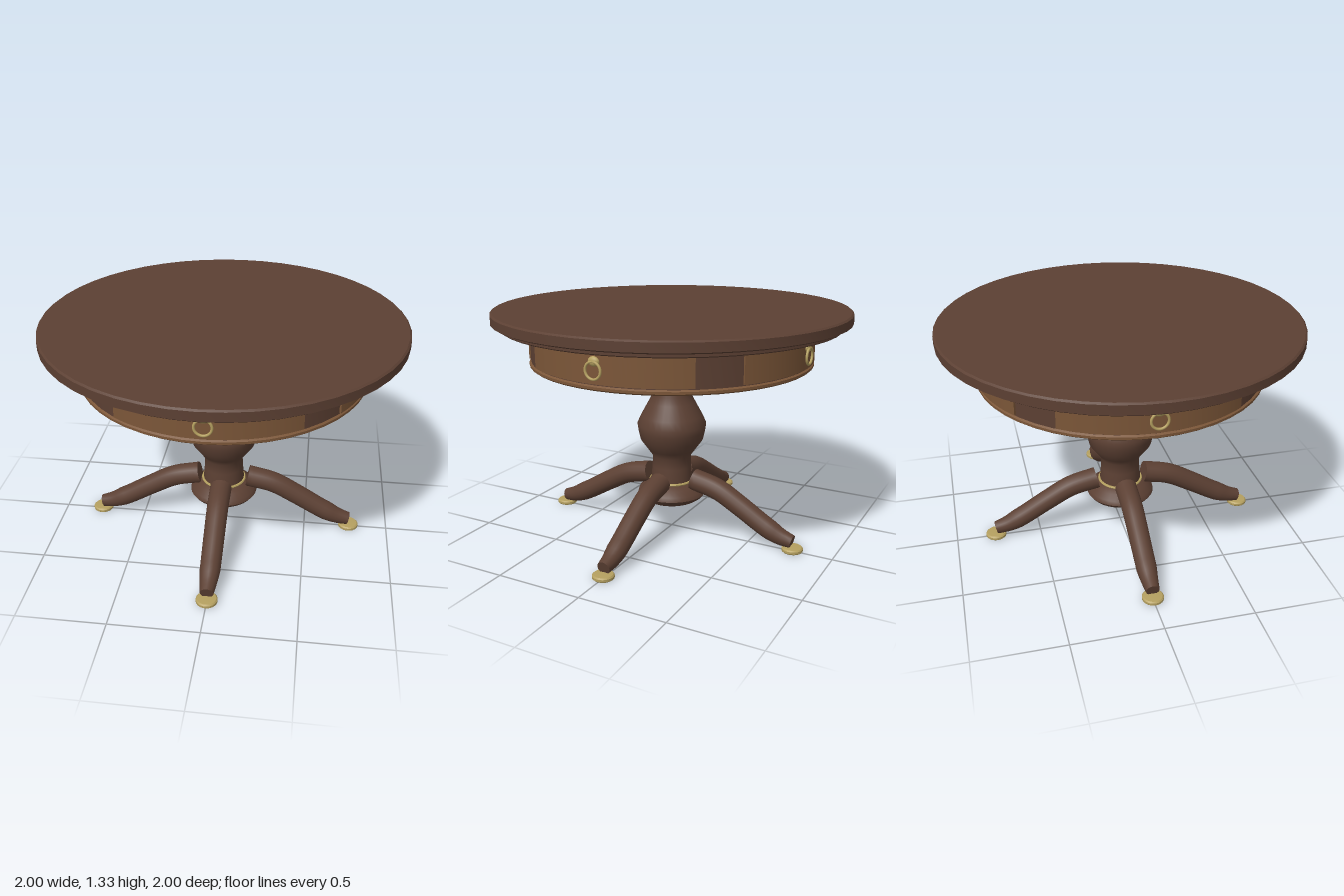
import * as THREE from 'three';
import { toCreasedNormals } from 'three/addons/utils/BufferGeometryUtils.js';

const wood = new THREE.MeshStandardMaterial({ color: 0x5c4033 });
const drawerWood = new THREE.MeshStandardMaterial({ color: 0x7b5638 });
const brass = new THREE.MeshStandardMaterial({ color: 0xb5a060 });

function mesh(name, geometry, material) {
  const m = new THREE.Mesh(geometry, material);
  m.name = name;
  return m;
}

// Turned part; profile is [radius, height] from bottom to top
function turned(name, profile, material, sides = 48, crease = 0.6) {
  const g = new THREE.LatheGeometry(profile.map(([r, y]) => new THREE.Vector2(r, y)), sides);
  return mesh(name, toCreasedNormals(g, crease), material);
}

// Curved drawer front, centred on +z
function drawerFront() {
  const half = THREE.MathUtils.degToRad(36), mid = -Math.PI / 2;
  const s = new THREE.Shape();
  s.absarc(0, 0, 0.8, mid - half, mid + half, false);
  s.absarc(0, 0, 0.76, mid + half, mid - half, true);
  const g = new THREE.ExtrudeGeometry(s, { depth: 0.165, bevelEnabled: false, curveSegments: 20 });
  g.rotateX(-Math.PI / 2).translate(0, 1.055, 0);
  return mesh('drawerFront', toCreasedNormals(g, 0.6), drawerWood);
}

function ringPull() {
  const pull = new THREE.Group();
  pull.name = 'ringPull';
  const plate = mesh('pullPlate', new THREE.SphereGeometry(1, 20, 12), brass);
  plate.scale.set(0.032, 0.026, 0.018);
  plate.position.set(0, 1.17, 0.8);
  const ring = mesh('pullRing', new THREE.TorusGeometry(0.044, 0.007, 10, 28), brass);
  ring.position.set(0, 1.126, 0.812);
  pull.add(plate, ring);
  return pull;
}

// Swept leg towards +z, tapering to the toe
function leg() {
  const path = new THREE.CatmullRomCurve3([
    [0.145, 0.322], [0.3, 0.286], [0.44, 0.212], [0.6, 0.118], [0.69, 0.075], [0.765, 0.056],
  ].map(([z, y]) => new THREE.Vector3(0, y, z)));
  const steps = 24, sides = 16, pos = [], index = [];
  for (let i = 0; i <= steps; i++) {
    const t = i / steps, p = path.getPointAt(t), d = path.getTangentAt(t);
    const r = 0.064 - 0.008 * t - 0.018 * Math.max(0, (t - 0.8) / 0.2);
    for (let j = 0; j < sides; j++) {
      const a = (j / sides) * Math.PI * 2, c = Math.cos(a) * r, s = Math.sin(a) * r;
      pos.push(c, p.y + s * d.z, p.z - s * d.y);
      if (i < steps) {
        const k = (j + 1) % sides, A = i * sides + j, B = i * sides + k;
        index.push(A, B, B + sides, A, B + sides, A + sides);
      }
    }
  }
  // End caps
  const last = steps * sides;
  for (let j = 1; j < sides - 1; j++) {
    index.push(0, j + 1, j, last, last + j, last + j + 1);
  }
  const g = new THREE.BufferGeometry();
  g.setAttribute('position', new THREE.Float32BufferAttribute(pos, 3));
  g.setIndex(index);
  return mesh('leg', toCreasedNormals(g, 0.8), wood);
}

export function createModel() {
  const table = new THREE.Group();
  table.name = 'drumTable';

  // Round top with a stepped underside
  table.add(turned('tableTop', [[0, 1.262], [0.985, 1.262], [1, 1.27], [1, 1.318], [0.99, 1.326], [0, 1.326]], wood));
  table.add(turned('topMoulding', [[0, 1.237], [0.95, 1.237], [0.957, 1.243], [0.957, 1.263], [0, 1.263]], wood));

  // Drum apron with a bead round the bottom
  table.add(turned('apron', [[0, 1.04], [0.79, 1.04], [0.79, 1.238], [0, 1.238]], wood));
  table.add(turned('apronBead', [[0, 1.01], [0.73, 1.01], [0.75, 1.019], [0.79, 1.02], [0.8, 1.028],
    [0.8, 1.041], [0.79, 1.048], [0.7, 1.048]], drawerWood));
  table.add(turned('apronBottom', [[0, 1.007], [0.728, 1.007], [0.735, 1.016], [0, 1.016]], wood));

  // Turned pedestal, collar and base boss
  table.add(turned('pedestal', [[0.12, 0.29], [0.121, 0.32], [0.115, 0.39], [0.112, 0.455], [0.14, 0.495],
    [0.183, 0.555], [0.195, 0.61], [0.201, 0.65], [0.178, 0.7], [0.135, 0.78], [0.111, 0.825], [0.104, 0.92],
    [0.101, 0.98], [0.108, 1.01]], wood, 32, 0.9));
  table.add(turned('collar', [[0.1, 0.298], [0.13, 0.298], [0.133, 0.304], [0.13, 0.31], [0.1, 0.31]], brass, 32));
  table.add(turned('baseBoss', [[0, 0.185], [0.155, 0.185], [0.185, 0.205], [0.2, 0.225], [0.192, 0.25],
    [0.155, 0.275], [0.125, 0.298], [0, 0.298]], wood, 32, 0.7));

  // Four sides, each with a drawer, a leg and a foot
  for (let i = 0; i < 4; i++) {
    const side = new THREE.Group();
    side.name = 'side' + (i + 1);
    const foot = turned('foot', [[0, 0], [0.054, 0], [0.06, 0.006], [0.06, 0.019], [0.053, 0.026], [0, 0.03]], brass, 24);
    foot.position.z = 0.768;
    side.add(drawerFront(), ringPull(), leg(), foot);
    side.rotation.y = (i * Math.PI) / 2;
    // Drawer shape is drawn facing +z after tilting
    table.add(side);
  }
  return table;
}
